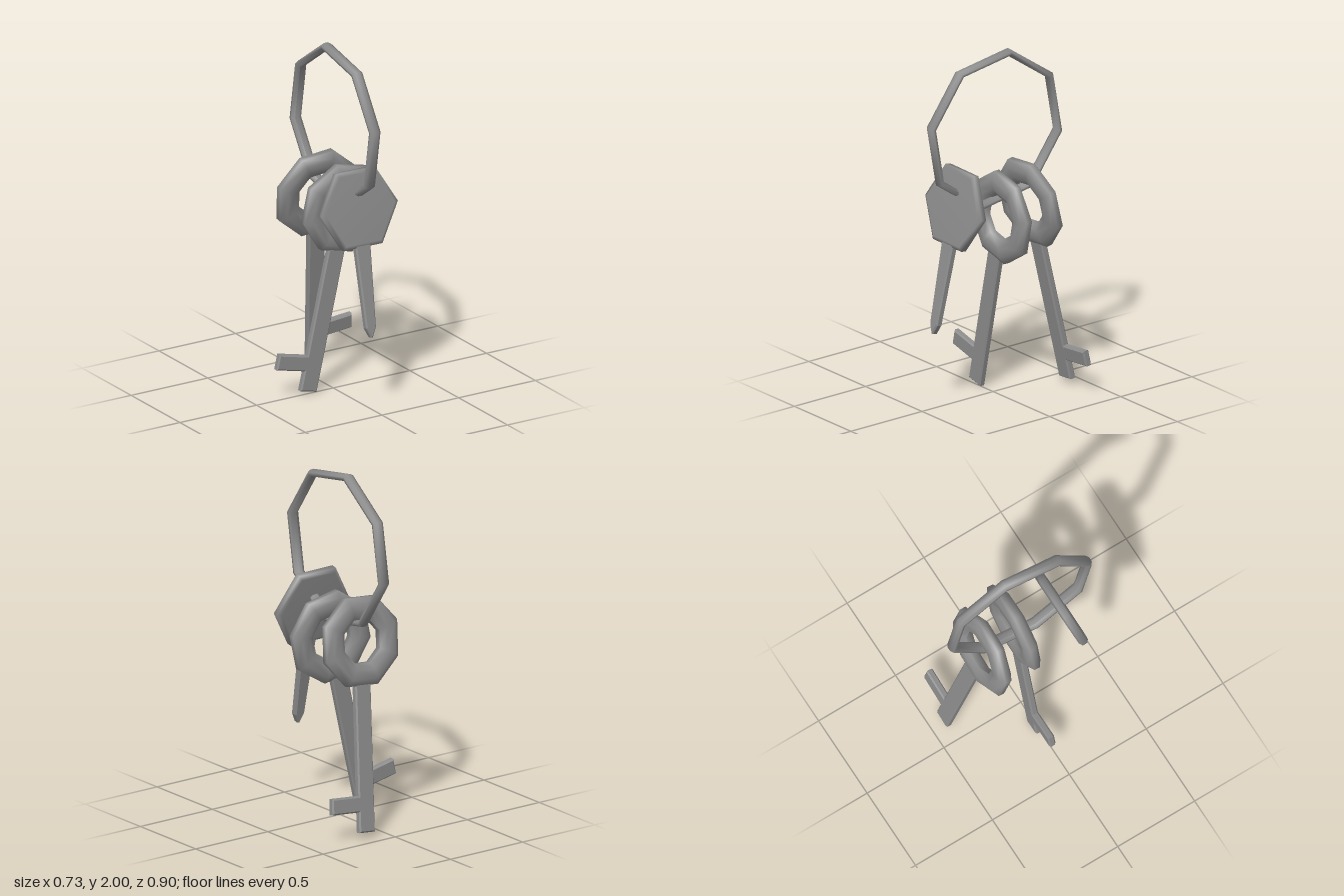
import * as THREE from 'three';

const steel = new THREE.MeshStandardMaterial({ color: 0x8c8c8c });
steel.name = 'steel grey';

// Low-sided disc or band turned around z, with a flat side facing down
function turned(name, profile, sides) {
  const geo = new THREE.LatheGeometry(profile, sides, Math.PI / sides);
  geo.rotateX(Math.PI / 2);
  const mesh = new THREE.Mesh(geo, steel);
  mesh.name = name;
  return mesh;
}

// Closed eight-point oval section between two radii
function ovalSection(inner, outer, halfDepth) {
  const mid = (inner + outer) / 2, half = (outer - inner) / 2;
  const grow = 1 / Math.cos(Math.PI / 8);
  const points = [];
  for (let i = 0; i <= 8; i++) {
    const a = -Math.PI + Math.PI / 8 + (i * Math.PI) / 4;
    points.push(new THREE.Vector2(
      mid + Math.cos(a) * half * grow,
      Math.sin(a) * halfDepth * grow
    ));
  }
  return points;
}

// Flat bevelled bar cut from an outline, centred on z = 0
function bar(name, outline, thickness) {
  const bevel = 0.008;
  const shape = new THREE.Shape(outline.map(([x, y]) => new THREE.Vector2(x, y)));
  const depth = thickness - 2 * bevel;
  const geo = new THREE.ExtrudeGeometry(shape, {
    depth, bevelEnabled: true, bevelThickness: bevel,
    bevelSize: bevel, bevelOffset: -bevel, bevelSegments: 1,
  });
  geo.translate(0, 0, -depth / 2);
  const mesh = new THREE.Mesh(geo, steel);
  mesh.name = name;
  return mesh;
}

// Key with an open octagonal bow and one tooth; side is +1 or -1
function toothedKey(name, side) {
  const key = new THREE.Group();
  key.name = name;
  key.add(turned('keyBow', ovalSection(0.13, 0.265, 0.042), 8));
  const w = 0.053;
  const outline = [
    [-w, -0.18], [-w, -1.06], [w, -1.06], [w, -0.945],
    [0.235, -0.945], [0.235, -0.855], [w, -0.855], [w, -0.18],
  ].map(([x, y]) => [x * side, y]);
  key.add(bar('keyBlade', outline, 0.04));
  return key;
}

// Key with a solid hexagonal head and a tapered blade
function solidKey(name) {
  const key = new THREE.Group();
  key.name = name;
  const profile = [
    [0, -0.028], [0.225, -0.028], [0.25, -0.016],
    [0.25, 0.016], [0.225, 0.028], [0, 0.028],
  ].map(([x, y]) => new THREE.Vector2(x, y));
  key.add(turned('keyHead', profile, 6));
  key.add(bar('keyBlade', [
    [-0.05, -0.18], [-0.032, -0.67], [-0.006, -0.725],
    [0.006, -0.725], [0.032, -0.67], [0.05, -0.18],
  ], 0.042));
  return key;
}

export function createModel() {
  const model = new THREE.Group();
  model.name = 'keyRingWithKeys';

  // Large ring standing in the side plane
  const ring = turned('ring', ovalSection(0.422, 0.462, 0.032), 8);
  ring.position.set(0.012, 1.55, 0);
  ring.rotation.set(0, 1.535, 0.175);
  model.add(ring);

  // Three keys fanned out from front to back
  const front = solidKey('frontKey');
  front.position.set(-0.004, 1.145, 0.26);
  front.rotation.set(-0.2, 0, -0.012);

  const middle = toothedKey('middleKey', -1);
  middle.position.set(0.07, 1.05, -0.003);
  middle.rotation.set(0, -0.04, -0.22);

  const back = toothedKey('backKey', 1);
  back.position.set(0.035, 1.075, -0.23);
  back.rotation.set(0.174, 0, 0.096);

  model.add(front, middle, back);
  return model;
}
